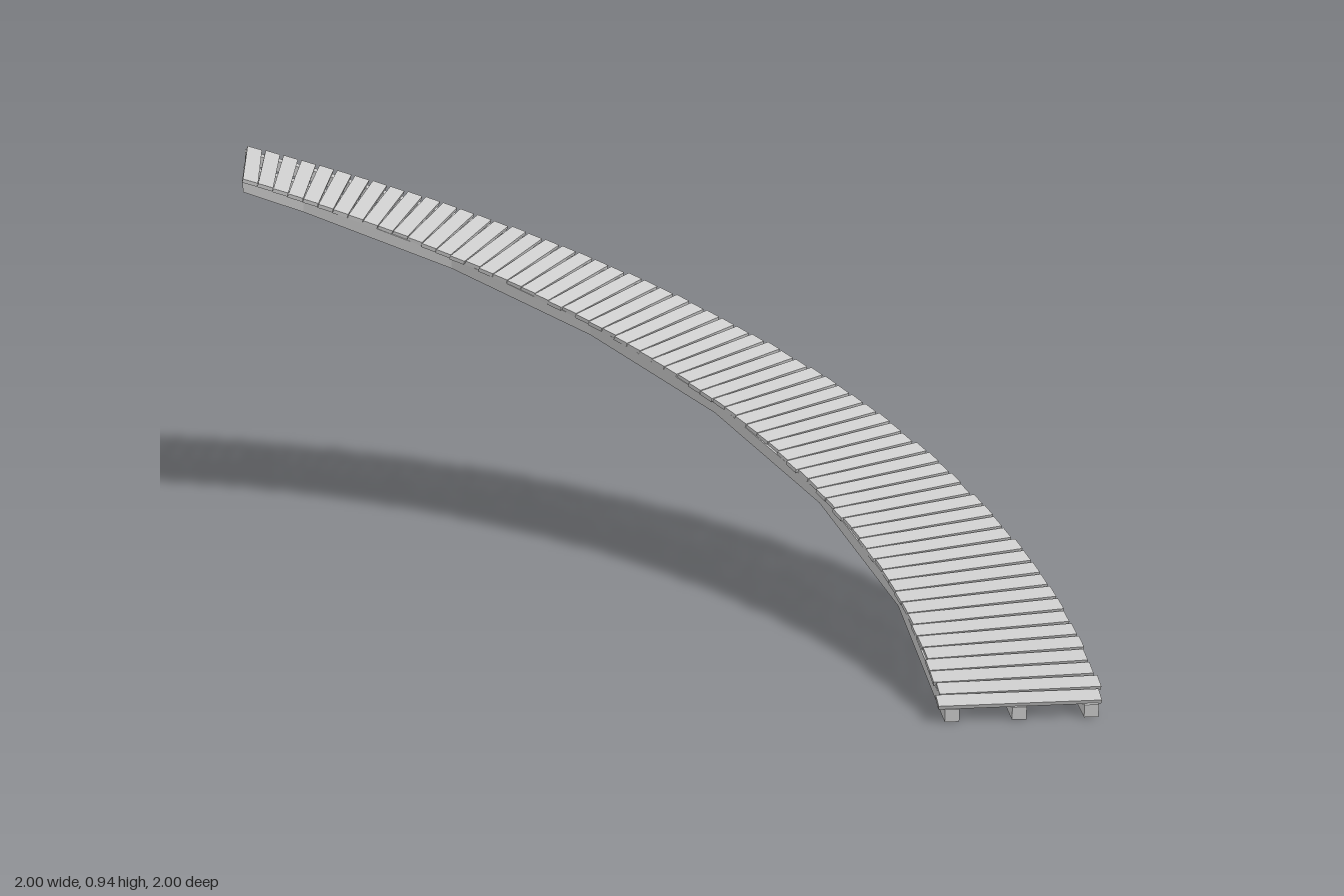
import * as THREE from 'three';

const RISE = 0.9;            // climb over the quarter turn
const SWEEP = Math.PI / 2;
const PLANKS = 64;
const CENTRE = { x: -1, z: 1 }; // axis of the turn

const material = new THREE.MeshStandardMaterial({ color: 0xcccccc, flatShading: true });

// Point on the ramp at radius r, turn angle a and height h above the sloping base
function rampPoint(r, a, h) {
  return [CENTRE.x + r * Math.cos(a), RISE * a / SWEEP + h, CENTRE.z - r * Math.sin(a)];
}

function seeded(seed) {
  return () => (seed = (seed * 16807) % 2147483647) / 2147483647;
}

// Straight-sided support beam, kinked every ten planks, with upright ends
function stringerGeometry(radius, width, height) {
  const angles = [];
  for (let i = 0; i < PLANKS; i += 10) angles.push(i / PLANKS * SWEEP);
  angles.push(SWEEP);
  const rings = angles.map(a => [[-1, 0], [1, 0], [1, 1], [-1, 1]]
    .map(([s, t]) => rampPoint(radius + s * width / 2, a, t * height)));
  const positions = [];
  const quad = (a, b, c, d) => [a, b, c, a, c, d].forEach(p => positions.push(...p));
  quad(...rings[0]);
  for (let i = 0; i < rings.length - 1; i++) {
    for (let k = 0; k < 4; k++) {
      const n = (k + 1) % 4;
      quad(rings[i][k], rings[i + 1][k], rings[i + 1][n], rings[i][n]);
    }
  }
  quad(...rings[rings.length - 1].slice().reverse());
  const geometry = new THREE.BufferGeometry();
  geometry.setAttribute('position', new THREE.Float32BufferAttribute(positions, 3));
  geometry.computeVertexNormals();
  return geometry;
}

export function createModel() {
  const model = new THREE.Group();
  model.name = 'curvedRamp';

  // Three beams under the deck
  const stringers = new THREE.Group();
  stringers.name = 'stringers';
  [['innerStringer', 1.637], ['middleStringer', 1.795], ['outerStringer', 1.965]].forEach(([name, r]) => {
    const beam = new THREE.Mesh(stringerGeometry(r, 0.034, 0.031), material);
    beam.name = name;
    stringers.add(beam);
  });
  model.add(stringers);

  // Deck of separate planks, tilted along the slope with slightly uneven ends
  const deck = new THREE.Group();
  deck.name = 'deck';
  const midRadius = 1.802;
  const slope = Math.atan(RISE / (SWEEP * midRadius));
  const plankGeometry = new THREE.BoxGeometry(0.385, 0.01, 0.039 / Math.cos(slope));
  const random = seeded(7);
  for (let i = 0; i < PLANKS; i++) {
    const a = (i + 0.5) / PLANKS * SWEEP;
    const plank = new THREE.Mesh(plankGeometry, material);
    plank.name = 'plank';
    plank.position.set(...rampPoint(midRadius + (random() - 0.5) * 0.01, a, 0.035));
    plank.rotation.set(slope, a, 0, 'YXZ');
    deck.add(plank);
  }
  model.add(deck);

  return model;
}
